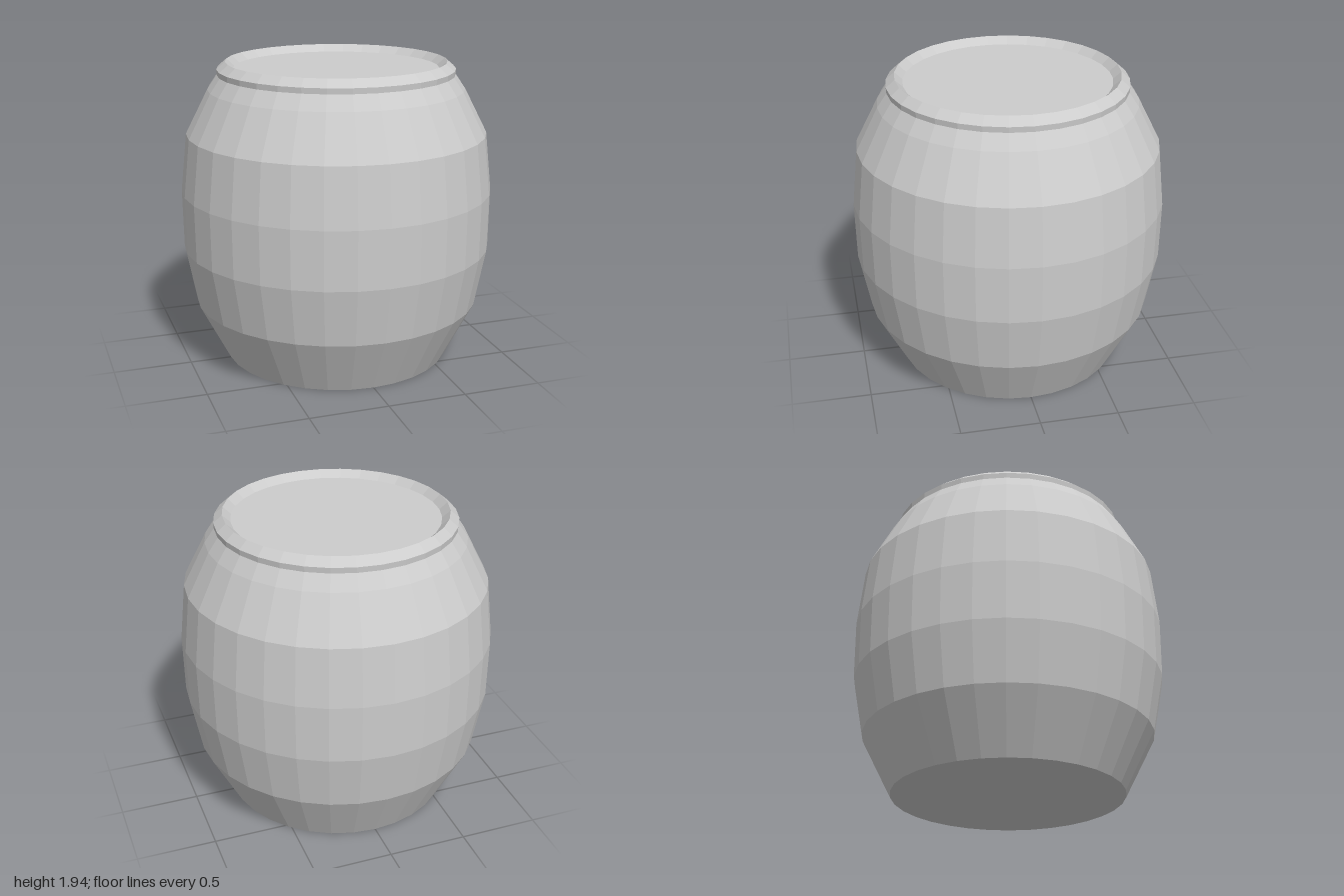
import * as THREE from 'three';

const SIDES = 32;

export function createModel() {
  const model = new THREE.Group();
  model.name = 'barrel';
  const grey = new THREE.MeshStandardMaterial({ color: 0xcccccc, flatShading: true });
  grey.name = 'plain grey';

  // Turns a [radius, height] profile around the y axis
  const turned = (name, profile) => {
    const points = profile.map(([r, y]) => new THREE.Vector2(r, y));
    const mesh = new THREE.Mesh(new THREE.LatheGeometry(points, SIDES), grey);
    mesh.name = name;
    model.add(mesh);
  };
  // Flat disc facing up or down
  const disc = (name, radius, y, tilt) => {
    const geometry = new THREE.CircleGeometry(radius, SIDES).rotateX(tilt);
    const mesh = new THREE.Mesh(geometry, grey);
    mesh.name = name;
    mesh.position.y = y;
    model.add(mesh);
  };

  // Bulging wall
  turned('barrelWall', [
    [0.733, 0], [0.925, 0.375], [0.995, 0.745], [1, 1.115],
    [0.96, 1.485], [0.817, 1.765], [0.755, 1.855],
  ]);
  // Raised rim, bevelled outside and inside
  turned('rim', [[0.755, 1.855], [0.757, 1.89], [0.702, 1.937], [0.652, 1.892]]);
  // Sunken lid and closed base
  disc('lid', 0.652, 1.892, -Math.PI / 2);
  disc('base', 0.733, 0, Math.PI / 2);

  return model;
}
